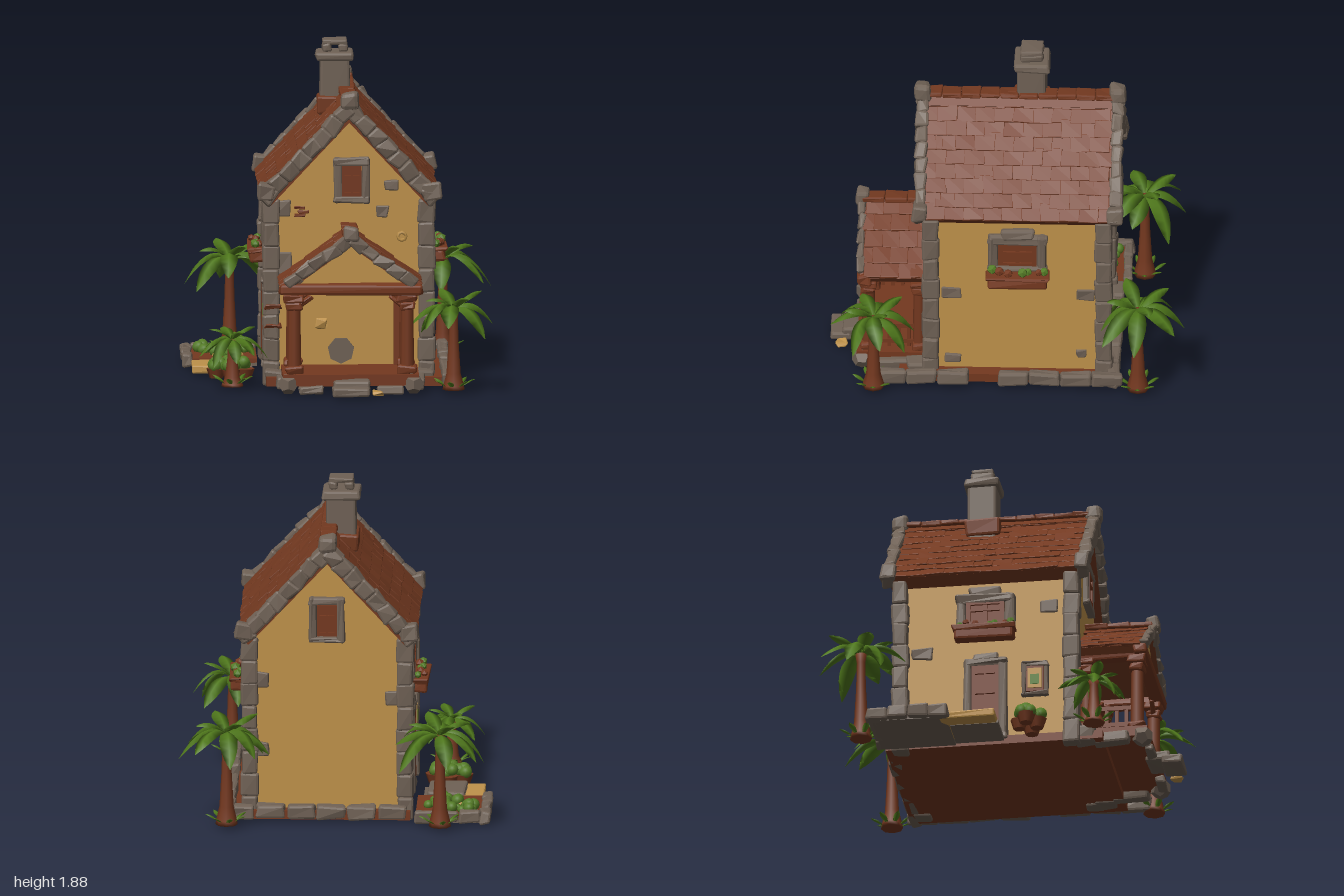
import * as THREE from 'three';
import { mergeGeometries } from 'three/addons/utils/BufferGeometryUtils.js';
import { RoundedBoxGeometry } from 'three/addons/geometries/RoundedBoxGeometry.js';

let seed = 7;
const rnd = () => (seed = (seed * 16807) % 2147483647) / 2147483647;
const jit = (a) => (rnd() - 0.5) * 2 * a;

const mat = (name, color) => {
  const m = new THREE.MeshStandardMaterial({ color });
  m.name = name;
  return m;
};

export function createModel() {
  const root = new THREE.Group();
  root.name = 'cottage';
  const M = {
    plaster: mat('ochre plaster', 0xbf924a),
    stone: mat('grey stone', 0x6f6155),
    roof: mat('roof tile', 0x733920),
    wood: mat('red brown wood', 0x74381f),
    leaf: mat('leaf green', 0x50791c),
    bush: mat('bush green', 0x547b26),
  };
  const CX = 0.035; // centre line of the house

  // place a geometry: position, then rotation
  const at = (g, x, y, z, rx = 0, ry = 0, rz = 0) => {
    const m = new THREE.Matrix4().makeRotationFromEuler(new THREE.Euler(rx, ry, rz));
    return g.applyMatrix4(m.setPosition(x, y, z));
  };
  // merge geometries into one named mesh
  const part = (name, m, geos, parent = root) => {
    const flat = geos.map((g) => {
      const f = g.index ? g.toNonIndexed() : g;
      f.deleteAttribute('uv');
      return f;
    });
    const mesh = new THREE.Mesh(mergeGeometries(flat), m);
    mesh.name = name;
    parent.add(mesh);
  };
  const box = (w, h, d, x = 0, y = 0, z = 0) => new THREE.BoxGeometry(w, h, d).translate(x, y, z);
  // hand-cut block: every corner is pushed a little
  const block = (w, h, d, j = 0.007, r = 0.014) => {
    const g = new RoundedBoxGeometry(w, h, d, 1, Math.min(r, w / 4, h / 4, d / 4));
    const off = Array.from({ length: 8 }, () => [jit(j), jit(j), jit(j)]);
    const p = g.attributes.position;
    for (let i = 0; i < p.count; i++) {
      const o = off[(p.getX(i) > 0) + 2 * (p.getY(i) > 0) + 4 * (p.getZ(i) > 0)];
      p.setXYZ(i, p.getX(i) + o[0], p.getY(i) + o[1], p.getZ(i) + o[2]);
    }
    g.computeVertexNormals();
    return g;
  };
  const prism = (pts, z0, z1) => new THREE.ExtrudeGeometry(
    new THREE.Shape(pts.map((p) => new THREE.Vector2(...p))), { depth: z1 - z0, bevelEnabled: false }).translate(0, 0, z0);

  // gabled roof of overlapping tiles with a ridge
  const gableRoof = (name, peak, slope, half, z0, z1, thick, rows, cols) => {
    const a = Math.atan(slope), L = half / Math.cos(a), len = L / rows * 1.25, geos = [];
    for (const s of [-1, 1]) {
      const put = (g, u, n, tilt = 0, z = (z0 + z1) / 2) => geos.push(at(g,
        CX + s * (u * Math.cos(a) + n * Math.sin(a)), peak - u * Math.sin(a) + n * Math.cos(a), z, 0, 0, -s * (a - tilt)));
      put(box(L, thick, z1 - z0), L / 2, -thick / 2 - 0.012);
      for (let r = 0; r < rows; r++) for (let c = 0; c < cols; c++) {
        const w = (z1 - z0) / cols, sh = r % 2 ? w / 4 : -w / 4;
        const z = Math.min(z1 - w / 2, Math.max(z0 + w / 2, z0 + (c + 0.5) * w + sh));
        put(block(len, 0.018, w * 1.08, 0.004, 0.003), Math.min((r + 0.5) * L / rows, L - len / 2), -0.01, 0.05 + jit(0.04), z);
      }
    }
    const n = Math.round((z1 - z0) / 0.11);
    for (let i = 0; i < n; i++)
      geos.push(at(block(0.09, 0.03, (z1 - z0) / n, 0.004), CX, peak - 0.005, z0 + (i + 0.5) * (z1 - z0) / n));
    part(name, M.roof, geos);
  };
  // stone trim running up both sides of a gable
  const coping = (name, peak, slope, half, z, n, t, depth, cap, drop) => {
    const a = Math.atan(slope), L = half / Math.cos(a), geos = [];
    for (const s of [-1, 1]) {
      for (let i = 0; i < n; i++) {
        const u = (i + 0.5) * L / n;
        geos.push(at(block(L / n * 1.12, t, depth, 0.009), CX + s * u * Math.cos(a), peak - drop - u * Math.sin(a), z, 0, 0, -s * (a + jit(0.14))));
      }
      if (cap > 0.09) geos.push(at(block(cap, cap * 0.95, depth + 0.02), CX + s * (half - 0.022), peak - half * slope + 0.012, z, 0, 0, s * 0.15));
    }
    geos.push(at(block(cap, cap, depth + 0.03, 0.007, 0.03), CX, peak, z));
    part(name, M.stone, geos);
  };

  // house body
  part('walls', M.plaster, [prism([[-0.405, 0.04], [0.475, 0.04], [0.475, 1.03], [CX, 1.5], [-0.405, 1.03]], -0.555, 0.435)]);
  part('base', M.wood, [box(0.98, 0.05, 1.22, 0.06, 0.035, -0.01)]);
  gableRoof('mainRoof', 1.6, 1.07, 0.5, -0.59, 0.48, 0.072, 9, 10);
  for (const [n, z] of [['frontCoping', 0.485], ['backCoping', -0.605]]) coping(n, 1.6, 1.07, 0.485, z, 8, 0.088, 0.065, 0.1, 0.04);

  // corner stones
  const quoins = [];
  for (const x of [-0.4, 0.468]) for (const z of [0.425, -0.54])
    for (let i = 0; i < 8; i++)
      quoins.push(at(block(0.088 + (i % 2) * 0.01, 0.138, 0.088 + ((i + 1) % 2) * 0.01, 0.005), x, 0.065 + i * 0.13, z, 0, jit(0.05)));
  part('cornerStones', M.stone, quoins);

  // stones and bricks showing through the plaster: x, y, z, width, height, depth
  part('wallStones', M.stone, [
    [0.47, 0.55, 0.31, 0.03, 0.07, 0.11], [0.47, 0.55, -0.44, 0.03, 0.07, 0.1], [0.47, 0.12, 0.3, 0.03, 0.06, 0.09],
    [0.47, 0.16, -0.42, 0.03, 0.06, 0.06], [0.27, 1.12, 0.435, 0.07, 0.06, 0.03], [0.22, 0.97, 0.435, 0.07, 0.06, 0.03],
    [-0.34, 0.99, 0.435, 0.09, 0.09, 0.03], [-0.33, 0.68, 0.435, 0.09, 0.12, 0.03], [-0.4, 0.6, -0.42, 0.03, 0.07, 0.12],
    [-0.4, 0.85, 0.3, 0.03, 0.07, 0.1], [-0.33, 0.7, -0.555, 0.08, 0.08, 0.03], [0.4, 0.4, -0.555, 0.08, 0.08, 0.03],
    [0.4, 0.8, -0.555, 0.08, 0.08, 0.03],
  ].map(([x, y, z, w, h, d]) => at(block(w, h, d), x, y, z))
    .concat([at(new THREE.CylinderGeometry(0.075, 0.075, 0.03, 7), -0.01, 0.19, 0.435, Math.PI / 2)]));
  part('wallBricks', M.wood, [0, 1, 2].map((i) => at(block(0.06, 0.017, 0.012, 0.003), -0.24 + (i % 2) * 0.02, 0.95 + i * 0.022, 0.438))
    .concat([0.33, 0.44].map((y) => at(block(0.09, 0.025, 0.03), -0.39, y, 0.465))));
  part('wallKnobs', M.plaster, [at(new THREE.TorusGeometry(0.022, 0.01, 5, 8), 0.33, 0.83, 0.437),
    at(block(0.06, 0.05, 0.02), -0.12, 0.34, 0.437)]);

  // framed opening facing +z, turned by ry; w and h are the outer size
  const opening = (name, x, y, z, ry, w, h, t, keystone) => {
    const g = new THREE.Group();
    g.name = name;
    const stones = [-1, 1].map((s) => at(block(t, h, 0.06), s * (w - t) / 2, 0, 0));
    stones.push(at(block(w, t, 0.065), 0, h / 2 - t / 2, 0), at(block(w, t * 0.8, 0.065), 0, -h / 2 + t * 0.4, 0));
    if (keystone) stones.push(at(block(w * 0.55, t, 0.06), 0, h / 2 + 0.01, 0));
    part(name + 'Frame', M.stone, stones, g);
    const iw = w - 2 * t, ih = h - 1.8 * t;
    const wood = [box(iw, ih, 0.03), box(iw * 0.9, ih * 0.08, 0.03, 0, ih * 0.12, 0.014), box(iw * 0.1, ih, 0.022, 0, 0, 0.012)];
    for (const s of [-1, 1]) wood.push(box(iw * 0.12, ih, 0.03, s * iw * 0.44, 0, 0.014), box(iw, ih * 0.12, 0.03, 0, s * ih * 0.44, 0.013));
    part(name + 'Shutters', M.wood, wood, g);
    g.position.set(x, y, z);
    g.rotation.y = ry;
    root.add(g);
    return g;
  };
  opening('frontWindow', 0.05, 1.15, 0.44, 0, 0.2, 0.26, 0.045);
  opening('backWindow', CX, 1.15, -0.56, Math.PI, 0.2, 0.26, 0.045);
  // side windows with flower boxes
  for (const s of [-1, 1]) {
    const g = opening(s < 0 ? 'rightWindow' : 'leftWindow', CX + s * 0.445, 0.82, -0.06, s * Math.PI / 2, 0.33, 0.24, 0.058, true);
    part('flowerBox', M.wood, [at(block(0.33, 0.07, 0.09), 0, -0.147, 0.055), at(block(0.35, 0.025, 0.11), 0, -0.115, 0.058)], g);
    const sprig = (x) => at(new THREE.IcosahedronGeometry(0.02 + rnd() * 0.01, 0), x, -0.09 + rnd() * 0.012, 0.065 + jit(0.02));
    part('flowerBoxPlants', M.bush, [-0.14, 0.03, 0.06, 0.15].map(sprig), g);
    part('flowerBoxBlooms', M.wood, [-0.1, -0.05, 0.12].map(sprig), g);
  }
  opening('sideDoor', -0.41, 0.29, -0.06, -Math.PI / 2, 0.25, 0.5, 0.05, true);
  const hatch = opening('sideHatch', -0.405, 0.4, 0.22, -Math.PI / 2, 0.15, 0.2, 0.025);
  part('hatchPanel', M.plaster, [box(0.08, 0.12, 0.008, 0, 0, 0.032)], hatch);
  part('hatchGreenPanel', M.bush, [box(0.05, 0.06, 0.006, 0, -0.01, 0.037)], hatch);

  // chimney
  const cx = -0.03, cz = -0.125;
  const chim = [at(block(0.17, 0.4, 0.16, 0.005), cx, 1.57, cz), at(block(0.21, 0.055, 0.2, 0.005), cx, 1.772, cz)];
  for (const s of [-1, 1]) chim.push(at(block(0.05, 0.05, 0.13, 0.003), cx + s * 0.045, 1.82, cz));
  chim.push(at(block(0.14, 0.03, 0.12, 0.003), cx, 1.85, cz));
  part('chimney', M.stone, chim);
  part('chimneyFoot', M.roof, [at(block(0.2, 0.1, 0.19), cx, 1.5, cz)]);

  // porch
  gableRoof('porchRoof', 0.9, 0.72, 0.4, 0.44, 0.82, 0.045, 5, 4);
  coping('porchCoping', 0.9, 0.72, 0.36, 0.82, 5, 0.065, 0.04, 0.085, 0.028);
  part('porchGable', M.plaster, [prism([[-0.29, 0.61], [0.36, 0.61], [CX, 0.845]], 0.76, 0.79)]);
  const timber = [at(block(0.8, 0.065, 0.08), CX, 0.585, 0.8), box(0.76, 0.06, 0.4, CX, 0.08, 0.64), box(0.035, 0.41, 0.04, 0.302, 0.31, 0.45)];
  for (const s of [-1, 1]) {
    const x = CX + s * 0.315;
    timber.push(at(block(0.06, 0.05, 0.4), x, 0.575, 0.62));
    for (const z of [0.49, 0.775]) {
      timber.push(at(new THREE.CylinderGeometry(0.034, 0.04, 0.42, 8), x, 0.3, z));
      timber.push(at(block(0.115, 0.04, 0.1), x, 0.535, z), at(block(0.09, 0.05, 0.08), x, 0.49, z), at(block(0.1, 0.05, 0.09), x, 0.13, z));
      timber.push(at(block(0.09, 0.03, 0.03), x - s * 0.06, 0.515, z, 0, 0, -s * 0.6));
    }
    for (const y of [0.15, 0.25]) timber.push(box(0.025, 0.025, 0.29, x, y, 0.63));
    for (let i = 0; i < 4; i++) timber.push(box(0.02, 0.13, 0.02, x, 0.18, 0.55 + i * 0.055));
  }
  part('porchTimber', M.wood, timber);

  // foundation, step and edging stones
  const edge = [at(block(0.2, 0.055, 0.14), CX, 0.055, 0.86), at(block(0.21, 0.05, 0.12, 0.004), CX, 0.03, 0.936)];
  for (const s of [-1, 1]) {
    edge.push(at(new THREE.DodecahedronGeometry(0.06, 0), CX + s * 0.35, 0.055, 0.81), at(block(0.14, 0.045, 0.05), CX + s * 0.22, 0.025, 0.835));
    edge.push(at(block(0.1, 0.09, 0.12), CX + s * 0.42, 0.045, 0.5), at(block(0.07, 0.07, 0.2), CX + s * 0.38, 0.04, 0.64));
  }
  for (let i = 0; i < 8; i++) if (i !== 4) edge.push(at(block(0.06, 0.08, 0.17), 0.578, 0.058, -0.56 + i * 0.172));
  for (let i = 0; i < 6; i++) edge.push(at(block(0.16, 0.08, 0.07), -0.33 + i * 0.17, 0.05, -0.595));
  for (let i = 0; i < 4; i++) edge.push(at(block(0.06, 0.075, 0.115), -0.85, 0.04, -0.61 + i * 0.115));
  for (let i = 0; i < 3; i++) edge.push(at(block(0.12, 0.07, 0.05), -0.76 + i * 0.125, 0.04, -0.64));
  edge.push(at(block(0.21, 0.05, 0.25), -0.62, 0.04, -0.08), box(0.38, 0.02, 0.42, -0.65, 0.014, -0.43), box(0.24, 0.02, 0.27, -0.61, 0.01, -0.08));
  part('foundationStones', M.stone, edge);
  part('pathSlabs', M.plaster, [at(block(0.31, 0.035, 0.31), -0.67, 0.025, -0.11), at(block(0.06, 0.03, 0.06), 0.18, 0.02, 0.93)]);

  // garden bed and potted bushes
  part('gardenSoil', M.wood, [box(0.38, 0.025, 0.42, -0.65, 0.036, -0.43)]);
  const ball = (x, y, z, r) => at(new THREE.IcosahedronGeometry(r, 1), x, y, z);
  const bushes = [], pots = [], pebbles = [];
  for (let i = 0; i < 24; i++) bushes.push(ball(-0.65 + jit(0.14), 0.058 + rnd() * 0.02, -0.43 + jit(0.17), 0.02 + rnd() * 0.016));
  for (let i = 0; i < 6; i++) pebbles.push(ball(-0.62 + jit(0.1), 0.05, -0.4 + jit(0.1), 0.018));
  for (const [x, z, r] of [[-0.7, 0.21, 0.055], [-0.62, 0.26, 0.055], [-0.62, 0.16, 0.05], [-0.54, 0.22, 0.055]]) {
    pots.push(at(new THREE.CylinderGeometry(r, r * 0.65, 0.055, 8), x, 0.03, z));
    for (let i = 0; i < 4; i++) bushes.push(ball(x + jit(0.025), 0.068 + rnd() * 0.03, z + jit(0.025), r * 0.68));
  }
  part('bushes', M.bush, bushes);
  part('bedPebbles', M.plaster, pebbles);
  part('bushPots', M.wood, pots);

  // plump, blunt arched leaf along +x with a diamond cross-section
  const leaf = (L, W, up, drop) => {
    const n = 8, pos = [], idx = [];
    for (let i = 0; i <= n; i++) {
      const t = i / n, y = L * (up * t - drop * t * t), x = L * t;
      const w = W * Math.max(0.04, 0.16 * (1 - t) + Math.pow(Math.sin(Math.PI * Math.pow(t, 1.25)), 0.75));
      pos.push(x, y - w * 0.3, -w, x, y + w * 0.1, 0, x, y - w * 0.3, w, x, y - w * 0.25, 0);
      if (i < n) for (let k = 0; k < 4; k++) {
        const a = i * 4 + k, b = i * 4 + (k + 1) % 4;
        idx.push(a, b, a + 4, b, b + 4, a + 4);
      }
    }
    const g = new THREE.BufferGeometry();
    g.setAttribute('position', new THREE.Float32BufferAttribute(pos, 3));
    g.setIndex(idx);
    g.computeVertexNormals();
    return g;
  };
  const palm = (name, x, z, h, L) => {
    const g = new THREE.Group();
    g.name = name;
    const prof = [[0, 0], [0.062, 0], [0.058, 0.05], [0.04, 0.2], [0.028, 0.6], [0.024, 0.9], [0.032, 1], [0, 1.03]];
    part('trunk', M.wood, [new THREE.LatheGeometry(prof.map(([r, y]) => new THREE.Vector2(r, y * h)), 8)], g);
    const fronds = [];
    for (let i = 0; i < 8; i++) {
      const up = 0.45 + rnd() * 0.45;
      fronds.push(at(leaf(L * (0.84 + rnd() * 0.15), L * 0.17, up, up + 0.45 + jit(0.15)), 0, h, 0, jit(0.3), i * Math.PI / 4 + jit(0.2)));
    }
    for (let i = 0; i < 4; i++) fronds.push(at(leaf(L * 0.66, L * 0.15, 1.1, 0.65 + jit(0.15)), 0, h, 0, 0, i * 1.57 + 0.4));
    // grass tuft at the foot
    for (let i = 0; i < 7; i++) fronds.push(at(leaf(0.08, 0.016, 1.1, 0.5), 0.04 * Math.cos(i * 0.9), 0.01, -0.04 * Math.sin(i * 0.9), 0, i * 0.9));
    part('fronds', M.leaf, fronds, g);
    g.position.set(x, 0.01, z);
    root.add(g);
  };
  palm('backRightPalm', -0.6, -0.735, 0.52, 0.28);
  palm('backLeftPalm', 0.59, -0.735, 0.52, 0.28);
  palm('frontLeftPalm', 0.61, 0.74, 0.45, 0.26);
  palm('frontRightPalm', -0.62, 0.58, 0.26, 0.21);
  return root;
}
